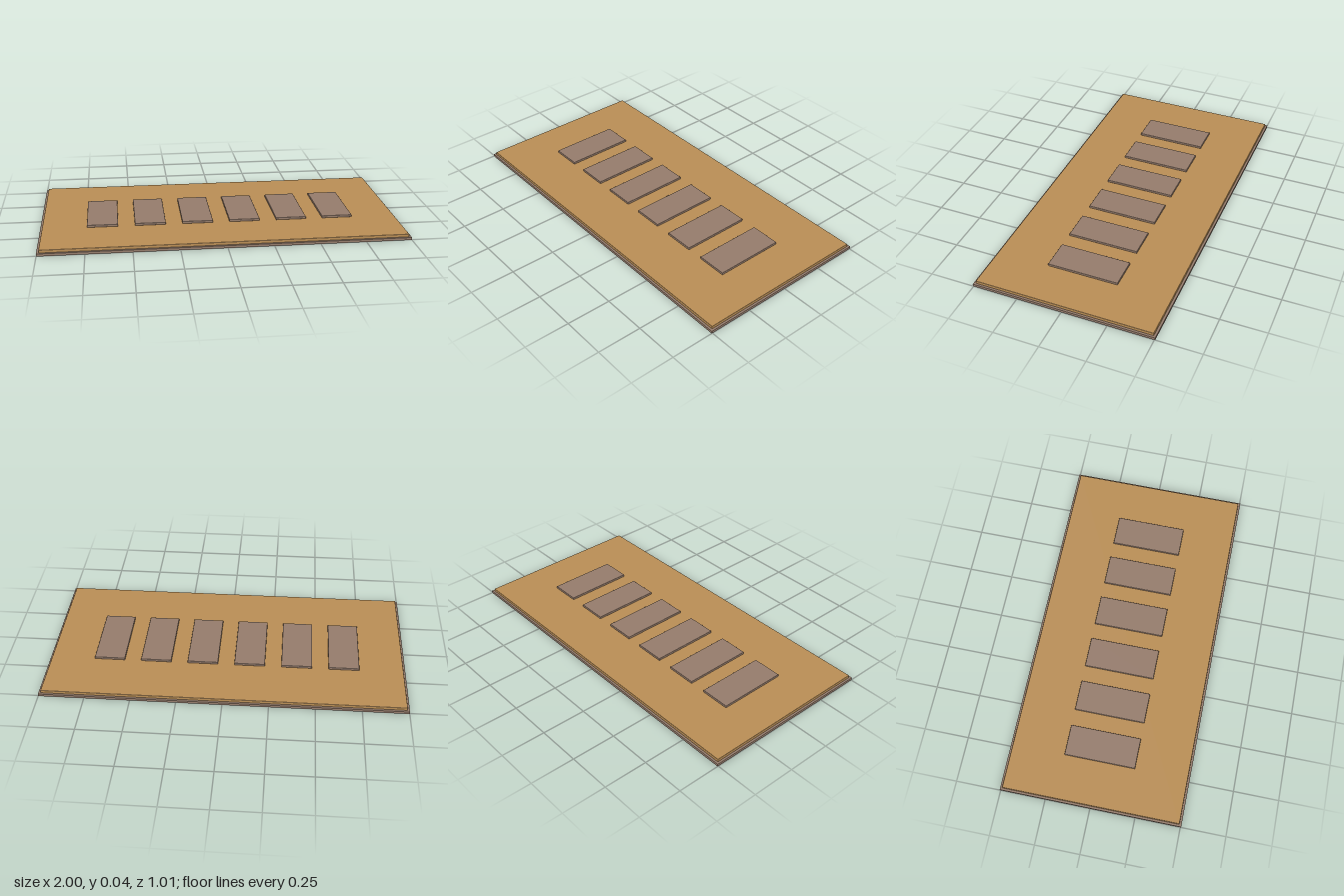
import * as THREE from 'three';
import { RoundedBoxGeometry } from 'three/addons/geometries/RoundedBoxGeometry.js';

export function createModel() {
  const model = new THREE.Group();
  model.name = 'tiledBoard';

  const ochre = new THREE.MeshStandardMaterial({ name: 'ochre', color: 0xb88d55 });
  const taupe = new THREE.MeshStandardMaterial({ name: 'taupe', color: 0x947b6b });

  function add(name, geometry, material, x, y) {
    const mesh = new THREE.Mesh(geometry, material);
    mesh.name = name;
    mesh.position.set(x, y, 0);
    model.add(mesh);
  }

  // Backing plate with a narrow rim showing around the panel
  add('basePlate', new THREE.BoxGeometry(2, 0.014, 1.008), taupe, 0, 0.007);

  // Panel with softly eased edges
  add('panel', new RoundedBoxGeometry(1.976, 0.018, 0.984, 2, 0.003), ochre, 0, 0.021);

  // Row of six raised tiles
  const tile = new RoundedBoxGeometry(0.171, 0.014, 0.396, 2, 0.003);
  for (let i = 0; i < 6; i++) {
    add(`tile${i + 1}`, tile, taupe, (i - 2.5) * 0.263, 0.036);
  }

  return model;
}
